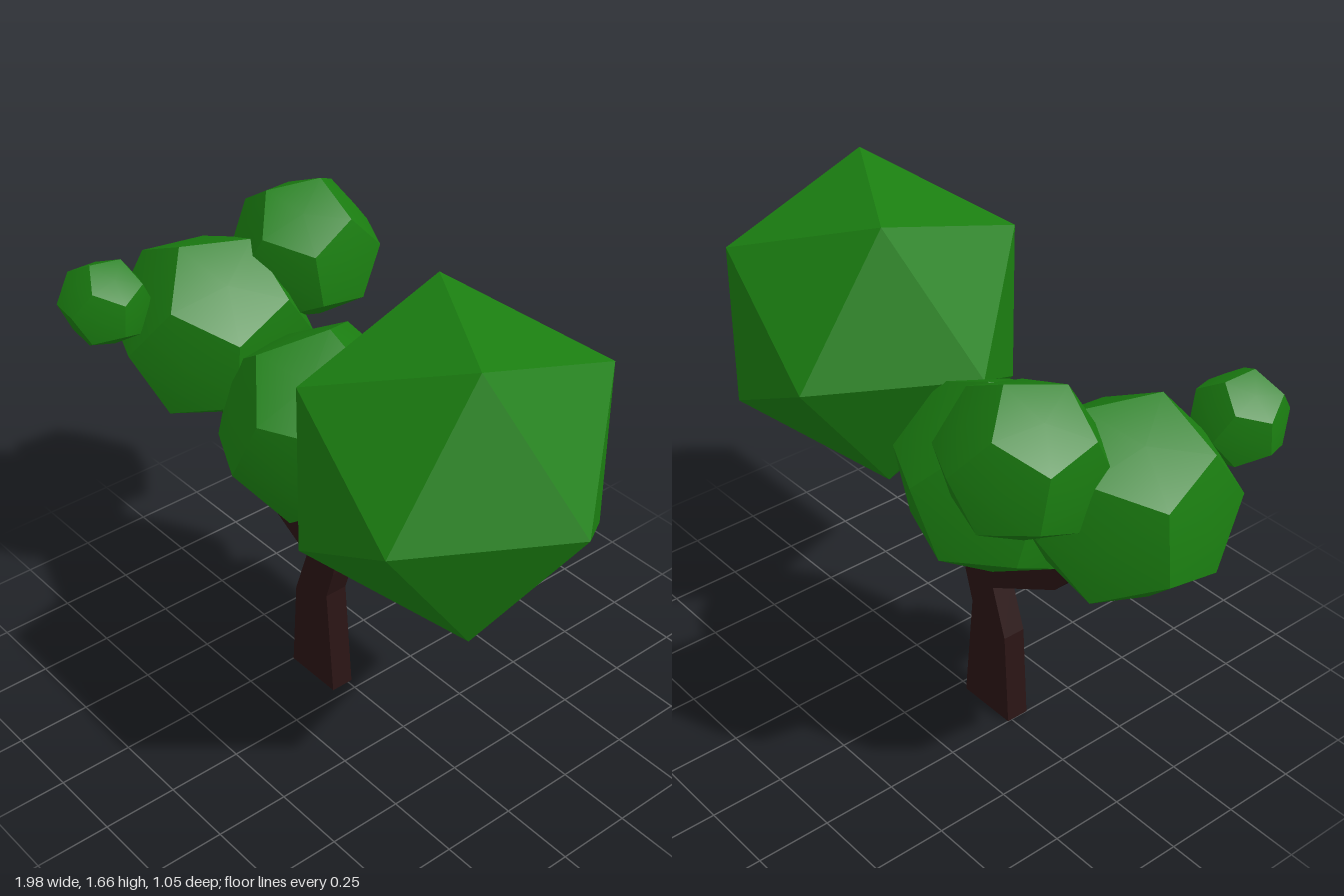
import * as THREE from 'three';
import { ConvexGeometry } from 'three/addons/geometries/ConvexGeometry.js';
import { toCreasedNormals } from 'three/addons/utils/BufferGeometryUtils.js';

const PHI = (1 + Math.sqrt(5)) / 2;
const V = (x, y, z) => new THREE.Vector3(x, y, z);

// Orthonormal frame: first axis along a, second as close to b as possible
function frame(a, b) {
  const e1 = a.clone().normalize();
  const e3 = e1.clone().cross(b).normalize();
  return new THREE.Matrix4().makeBasis(e1, e3.clone().cross(e1), e3);
}

// Turn a geometry so that directions a, b point along toA, toB
function aim(geometry, a, b, toA, toB) {
  return geometry.applyMatrix4(frame(toA, toB).multiply(frame(a, b).transpose()));
}

// Twelve-sided clump whose pentagons bulge slightly
function clumpGeometry(radius, faceDir, cornerDir) {
  const points = [];
  const collect = (g) => {
    const p = g.attributes.position;
    for (let i = 0; i < p.count; i++) {
      const v = V().fromBufferAttribute(p, i);
      if (!points.some((q) => q.distanceTo(v) < 1e-4)) points.push(v);
    }
  };
  collect(new THREE.DodecahedronGeometry(radius));
  collect(new THREE.IcosahedronGeometry(radius * 0.87).rotateZ(Math.PI / 2));
  const g = aim(new ConvexGeometry(points), V(1, 0, PHI), V(PHI, 0, 1 / PHI), faceDir, cornerDir);
  return toCreasedNormals(g, 0.6);
}

export function createModel() {
  const tree = new THREE.Group();
  tree.name = 'tree';
  const bark = new THREE.MeshStandardMaterial({ color: 0x2a1414 });
  const leaf = new THREE.MeshStandardMaterial({ color: 0x1b7f11 });
  const facetedLeaf = new THREE.MeshStandardMaterial({ color: 0x1b7f11, flatShading: true });

  const add = (name, geometry, material, x, y, z) => {
    const mesh = new THREE.Mesh(geometry, material);
    mesh.name = name;
    mesh.position.set(x, y, z);
    tree.add(mesh);
  };

  // Forked trunk: a flat outline with thickness
  const outline = [
    [-0.25, 0], [-0.035, 0], [-0.065, 0.39], [-0.03, 0.5], [0, 0.66], [0.19, 0.87],
    [0.14, 0.95], [-0.05, 0.76], [-0.33, 0.76], [-0.53, 0.95], [-0.64, 0.88],
    [-0.45, 0.66], [-0.165, 0.5], [-0.225, 0.33],
  ].map(([x, y]) => new THREE.Vector2(x, y));
  add('trunk', new THREE.ExtrudeGeometry(new THREE.Shape(outline), { depth: 0.08, bevelEnabled: false }),
    bark, 0, 0, -0.015);

  // Large twenty-sided crown, one corner pointing along +x
  const crown = aim(new THREE.IcosahedronGeometry(0.528), V(0, 1, PHI), V(0, -1, PHI),
    V(1, 0.01, -0.02), V(0, 0.455, 0.14));
  add('largeCrown', crown, facetedLeaf, 0.464, 1.205, 0.018);

  // Smaller clumps: name, radius, centre, direction of one face, direction of one of its corners
  const clumps = [
    ['middleClump', 0.335, [-0.21, 0.96, -0.03], [0.42, -0.3, -0.85], [0, -1, 0]],
    ['rightClump', 0.33, [-0.69, 1.115, 0.02], [-0.4, 0.85, -0.2], [0, 0, -1]],
    ['backClump', 0.25, [-0.6, 1.325, -0.29], [0.4, -0.4, -0.8], [0, -1, 0]],
    ['smallClump', 0.15, [-0.78, 1.285, 0.365], [-0.1, 0.6, 0.8], [0, 1, 0]],
  ];
  for (const [name, radius, centre, face, corner] of clumps)
    add(name, clumpGeometry(radius, V(...face), V(...corner)), leaf, ...centre);

  return tree;
}
